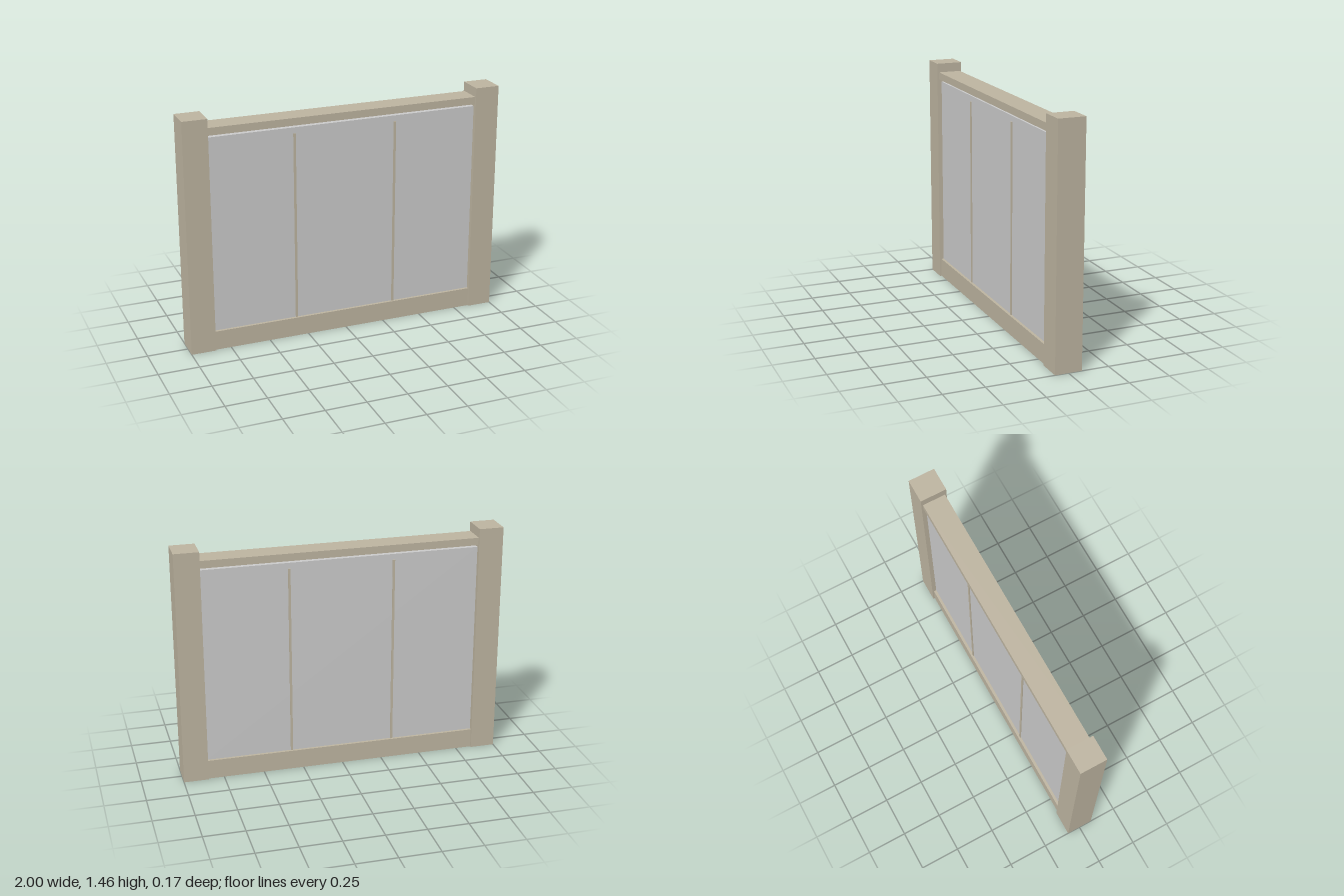
import * as THREE from 'three';

export function createModel() {
  const model = new THREE.Group();
  const frame = new THREE.MeshStandardMaterial({ color: 0xbeb5a1 });
  const grey = new THREE.MeshStandardMaterial({ color: 0xcccccc });

  // Box centred on z = 0, from its x centre, width, bottom, top and depth
  function addBox(name, material, x, width, bottom, top, depth) {
    const mesh = new THREE.Mesh(new THREE.BoxGeometry(width, top - bottom, depth), material);
    mesh.position.set(x, (bottom + top) / 2, 0);
    mesh.name = name;
    model.add(mesh);
  }

  // Posts and the slim dividing strips, mirrored
  for (const [side, s] of [['left', 1], ['right', -1]]) {
    addBox(side + 'Post', frame, s * 0.924, 0.152, 0, 1.455, 0.166);
    addBox(side + 'Divider', frame, s * 0.32, 0.014, 0.12, 1.3, 0.122);
  }

  // Rails between the posts
  addBox('bottomRail', frame, 0, 1.696, 0, 0.12, 0.144);
  addBox('topRail', frame, 0, 1.696, 1.352, 1.398, 0.144);

  // Infill panel, with a narrow gap under the top rail
  addBox('panel', grey, 0, 1.696, 0.12, 1.336, 0.11);

  return model;
}
